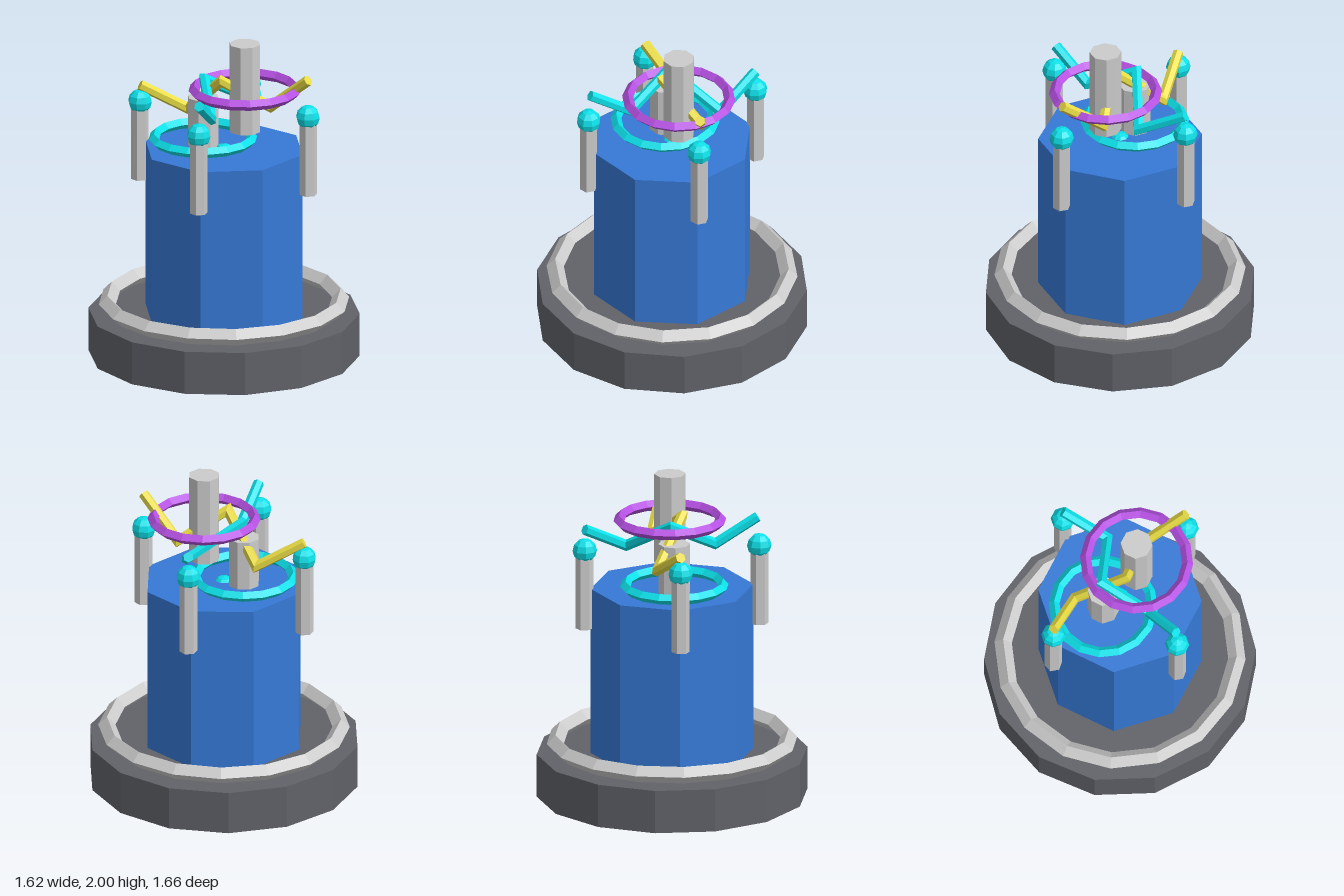
import * as THREE from 'three';

const mat = (color) => new THREE.MeshStandardMaterial({ color, flatShading: true });
const GREY = mat(0xcccccc), DARK = mat(0x606269), BLUE = mat(0x3679d6);
const CYAN = mat(0x0ce0e8), PURPLE = mat(0xb550e2), YELLOW = mat(0xe8dc45);

// Constant-section hexagonal rod along a polyline, mitred at every bend
function bentRod(path, radius, sides = 6) {
  const pts = path.map((p) => new THREE.Vector3(...p));
  const dirs = pts.slice(1).map((p, i) => p.clone().sub(pts[i]).normalize());
  const side = new THREE.Vector3().crossVectors(dirs[0], new THREE.Vector3(0, 1, 0)).normalize();
  const up = new THREE.Vector3().crossVectors(side, dirs[0]);
  let ring = [];
  for (let k = 0; k < sides; k++) {
    const a = (k / sides) * Math.PI * 2;
    ring.push(pts[0].clone().addScaledVector(up, radius * Math.cos(a)).addScaledVector(side, radius * Math.sin(a)));
  }
  const rings = [ring];
  for (let i = 1; i < pts.length; i++) {
    const d = dirs[i - 1];
    const n = dirs[i] ? d.clone().add(dirs[i]).normalize() : d;
    ring = ring.map((v) => v.clone().addScaledVector(d, pts[i].clone().sub(v).dot(n) / d.dot(n)));
    rings.push(ring);
  }
  const verts = [...rings.flat(), pts[0], pts[pts.length - 1]];
  const first = verts.length - 2, last = verts.length - 1, end = (rings.length - 1) * sides;
  const index = [];
  for (let k = 0; k < sides; k++) {
    const m = (k + 1) % sides;
    for (let r = 0; r < end; r += sides) {
      index.push(r + k, r + sides + k, r + m, r + m, r + sides + k, r + sides + m);
    }
    index.push(first, k, m, last, end + m, end + k);
  }
  // Orient faces outward
  const c = new THREE.Vector3().crossVectors(
    rings[1][0].clone().sub(rings[0][0]), rings[0][1].clone().sub(rings[0][0]));
  if (c.dot(up) < 0) index.reverse();
  const geo = new THREE.BufferGeometry().setFromPoints(verts);
  geo.setIndex(index);
  const flat = geo.toNonIndexed();
  flat.computeVertexNormals();
  return flat;
}

export function createModel() {
  const model = new THREE.Group();
  const add = (name, geo, material, x = 0, y = 0, z = 0) => {
    const mesh = new THREE.Mesh(geo, material);
    mesh.name = name;
    mesh.position.set(x, y, z);
    model.add(mesh);
    return mesh;
  };
  const column = (name, r, y0, y1, sides, material, x = 0, z = 0) =>
    add(name, new THREE.CylinderGeometry(r, r, y1 - y0, sides), material, x, (y0 + y1) / 2, z);
  const hoop = (name, r, tube, material, x, y) =>
    add(name, new THREE.TorusGeometry(r, tube, 4, 16).rotateX(Math.PI / 2), material, x, y);
  const ball = (name, x, y, z) => add(name, new THREE.SphereGeometry(0.075, 8, 6), CYAN, x, y, z);

  // Base, trim ring and main body
  column('base', 0.83, 0, 0.27, 14, DARK);
  hoop('baseRing', 0.715, 0.053, GREY, 0, 0.336);
  column('body', 0.5, 0.27, 1.32, 8, BLUE);
  ball('centreStud', 0, 1.27, 0);

  // Two offset columns, each with its hoop
  column('shortColumn', 0.097, 1.08, 1.635, 8, GREY, -0.133);
  column('tallColumn', 0.097, 1.44, 2, 8, GREY, 0.133);
  hoop('lowerHoop', 0.3, 0.033, CYAN, -0.135, 1.37);
  hoop('upperHoop', 0.312, 0.034, PURPLE, 0.133, 1.705);

  // Four posts with ball tips around the body
  for (const [x, z] of [[1, 0], [-1, 0], [0, 1], [0, -1]]) {
    column('post', 0.055, 1.07, 1.59, 6, GREY, x * 0.537, z * 0.537);
    ball('postBall', x * 0.535, 1.567, z * 0.535);
  }

  // Zigzag rods crossing over the top
  add('sidewaysRod', bentRod([[-0.535, 1.67, 0], [-0.265, 1.51, -0.115], [0, 1.765, 0.06],
    [0.265, 1.575, -0.1], [0.535, 1.8, -0.005]], 0.033), YELLOW);
  add('lengthwiseRod', bentRod([[0, 1.75, 0.525], [0, 1.585, 0.265], [-0.13, 1.74, -0.02],
    [0.13, 1.55, -0.268], [0, 1.7, -0.535]], 0.033), CYAN);
  return model;
}
